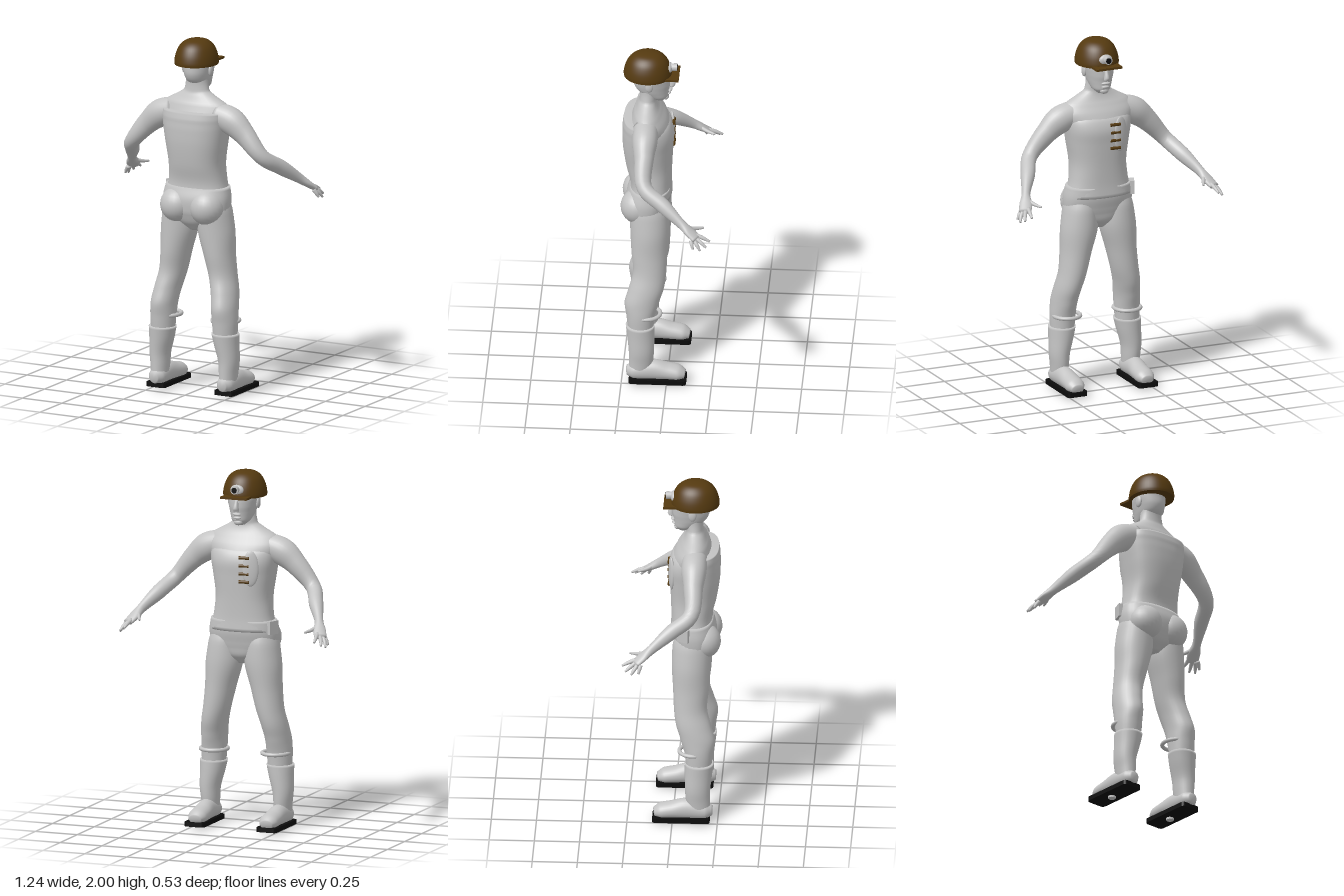
import * as THREE from 'three';

const V = (x, y, z) => new THREE.Vector3(x, y, z);
const paint = (name, color) => {
  const m = new THREE.MeshStandardMaterial({ color });
  m.name = name;
  return m;
};

// Smooth closed skin through stations [x, y, z, radiusU, radiusV].
// upright: level rings, listed bottom to top; otherwise rings follow the path.
function loft(stations, { upright = false, power = 2, sides = 28, steps = 5 } = {}) {
  const centre = new THREE.CatmullRomCurve3(stations.map(s => V(s[0], s[1], s[2])));
  const size = new THREE.CatmullRomCurve3(stations.map(s => V(s[3], s[4], 0)));
  const n = (stations.length - 1) * steps;
  const rings = [];
  for (let i = 0; i <= n; i++) {
    const r = size.getPoint(i / n);
    const ring = { c: centre.getPoint(i / n), t: centre.getTangent(i / n), a: Math.max(r.x, 0.002), b: Math.max(r.y, 0.002) };
    if (i === 0) rings.push({ ...ring, a: 0, b: 0 });
    rings.push(ring);
    if (i === n) rings.push({ ...ring, a: 0, b: 0 });
  }
  const pos = [], index = [];
  const curve = v => Math.sign(v) * Math.pow(Math.abs(v), 2 / power);
  rings.forEach(({ c, t, a, b }, i) => {
    const u = upright ? V(1, 0, 0) : V(0, 1, 0).cross(t).normalize();
    const v = upright ? V(0, 0, 1) : u.clone().cross(t);
    for (let j = 0; j < sides; j++) {
      const k = j / sides * Math.PI * 2;
      const p = c.clone().addScaledVector(u, a * curve(Math.cos(k))).addScaledVector(v, b * curve(Math.sin(k)));
      pos.push(p.x, p.y, p.z);
      if (i === rings.length - 1) continue;
      const p0 = i * sides + j, p1 = i * sides + (j + 1) % sides;
      index.push(p0, p0 + sides, p1, p1, p0 + sides, p1 + sides);
    }
  });
  const g = new THREE.BufferGeometry();
  g.setAttribute('position', new THREE.Float32BufferAttribute(pos, 3));
  g.setIndex(index);
  g.computeVertexNormals();
  return g;
}

// Level-ring stations on the centre line: [y, halfWidth, z, halfDepth]
const column = rows => rows.map(([y, a, z, b]) => [0, y, z, a, b]);

export function createModel() {
  const grey = paint('grey', 0xc4c4c4);
  const brown = paint('brown', 0x553a10);
  const black = paint('black', 0x0c0c0c);
  const model = new THREE.Group();
  const add = (name, geometry, material, x = 0, y = 0, z = 0) => {
    const mesh = new THREE.Mesh(geometry, material);
    mesh.name = name;
    mesh.position.set(x, y, z);
    model.add(mesh);
    return mesh;
  };
  const blob = (name, x, y, z, a, b, c, material = grey) => {
    const mesh = add(name, new THREE.SphereGeometry(1, 24, 16), material, x, y, z);
    mesh.scale.set(a, b, c);
    return mesh;
  };

  // Trunk with sloping shoulders and neck
  add('trunk', loft(column([
    [1.1, 0.17, 0.1, 0.1], [1.25, 0.15, 0.1, 0.1], [1.4, 0.165, 0.11, 0.12], [1.52, 0.19, 0.11, 0.125],
    [1.59, 0.215, 0.11, 0.1], [1.64, 0.19, 0.117, 0.075], [1.68, 0.12, 0.118, 0.055],
    [1.71, 0.075, 0.115, 0.048], [1.76, 0.066, 0.112, 0.05], [1.82, 0.066, 0.115, 0.055],
  ]), { upright: true }), grey);

  // Shirt and trouser seat
  add('shirt', loft(column([
    [1.11, 0.19, 0.1, 0.118], [1.2, 0.168, 0.1, 0.115], [1.3, 0.16, 0.11, 0.128], [1.42, 0.176, 0.115, 0.14],
    [1.5, 0.188, 0.115, 0.143], [1.56, 0.192, 0.125, 0.131], [1.6, 0.18, 0.15, 0.098],
  ]), { upright: true, power: 2.4, sides: 40 }), grey);
  add('trouserSeat', loft(column([
    [0.92, 0.03, 0.11, 0.05], [0.97, 0.12, 0.11, 0.095], [1.03, 0.195, 0.115, 0.115],
    [1.1, 0.2, 0.11, 0.125], [1.17, 0.188, 0.1, 0.115],
  ]), { upright: true, power: 2.3, sides: 40 }), grey);

  // Chest pocket with four cartridges, hip pouch
  blob('chestPocket', -0.085, 1.47, -0.012, 0.045, 0.1, 0.014).rotation.y = 0.3;
  for (let i = 0; i < 4; i++) {
    const bar = add('cartridge', new THREE.CylinderGeometry(0.009, 0.009, 0.06, 12), brown, -0.05, 1.53 - i * 0.045, -0.024);
    bar.rotation.z = Math.PI / 2;
  }
  const pouch = add('hipPouch', new THREE.BoxGeometry(0.025, 0.075, 0.065), grey, -0.188, 1.135, 0.06);
  pouch.rotation.y = -0.4;

  // Head and face, looking towards -z
  add('head', loft(column([
    [1.705, 0.025, 0.05, 0.025], [1.73, 0.052, 0.065, 0.062], [1.77, 0.068, 0.088, 0.09],
    [1.81, 0.078, 0.094, 0.102], [1.86, 0.086, 0.096, 0.102], [1.91, 0.08, 0.11, 0.1], [1.95, 0.05, 0.11, 0.07],
  ]), { upright: true, sides: 36 }), grey);
  add('nose', loft([
    [0, 1.79, -0.015, 0.017, 0.015], [0, 1.805, -0.018, 0.015, 0.018], [0, 1.85, -0.008, 0.008, 0.01],
  ], { upright: true, sides: 14 }), grey);
  blob('upperLip', 0, 1.77, -0.005, 0.026, 0.008, 0.014);
  blob('lowerLip', 0, 1.748, 0.002, 0.023, 0.008, 0.013);
  blob('chin', 0, 1.722, 0.018, 0.026, 0.018, 0.018);

  // Helmet dome, peak and lamp
  const dome = [[0.119, 0], [0.12, 0.02], [0.112, 0.06], [0.094, 0.1], [0.066, 0.127], [0.034, 0.138], [0, 0.141]];
  const profile = new THREE.SplineCurve(dome.map(p => new THREE.Vector2(...p))).getPoints(24);
  profile[24].x = 0;
  const helmet = add('helmet', new THREE.LatheGeometry([new THREE.Vector2(0, 0), new THREE.Vector2(0.119, 0), ...profile], 48), brown, 0, 1.859, 0.118);
  helmet.scale.z = 1.11;
  add('helmetPeak', new THREE.BoxGeometry(0.156, 0.012, 0.1), brown, 0, 1.866, -0.007);
  blob('lampMount', 0, 1.905, 0.0, 0.04, 0.03, 0.02);
  const lamp = add('lamp', new THREE.CylinderGeometry(0.022, 0.02, 0.04, 24), grey, 0, 1.91, -0.024);
  lamp.rotation.x = -Math.PI / 2;
  const lens = add('lampLens', new THREE.CylinderGeometry(0.016, 0.016, 0.004, 24), black, 0, 1.91, -0.045);
  lens.rotation.x = Math.PI / 2;

  // Sole outline with rounded corners
  const outline = new THREE.Shape();
  const w = 0.06, h = 0.159, r = 0.022;
  outline.moveTo(-w + r, -h).lineTo(w - r, -h).quadraticCurveTo(w, -h, w, -h + r)
    .lineTo(w, h - r).quadraticCurveTo(w, h, w - r, h)
    .lineTo(-w + r, h).quadraticCurveTo(-w, h, -w, h - r)
    .lineTo(-w, -h + r).quadraticCurveTo(-w, -h, -w + r, -h);
  const soleGeometry = new THREE.ExtrudeGeometry(outline, { depth: 0.025, bevelEnabled: false });
  soleGeometry.rotateX(-Math.PI / 2);

  for (const s of [1, -1]) {
    const side = rows => rows.map(([x, ...rest]) => [x * s, ...rest]);

    blob('ear', s * 0.083, 1.825, 0.105, 0.012, 0.034, 0.022);
    blob('buttock', s * 0.093, 1.06, 0.165, 0.098, 0.1, 0.098);

    // Arm to palm
    add('arm', loft(side([
      [0.13, 1.585, 0.12, 0.07, 0.07], [0.22, 1.555, 0.12, 0.07, 0.077], [0.3, 1.492, 0.12, 0.055, 0.062],
      [0.41, 1.37, 0.11, 0.043, 0.043], [0.47, 1.298, 0.005, 0.04, 0.042], [0.53, 1.22, -0.1, 0.024, 0.027],
      [0.553, 1.183, -0.15, 0.036, 0.02], [0.575, 1.153, -0.19, 0.034, 0.015],
    ])), grey);

    // Thumb and four fingers: base and tip
    const digits = [
      [[0.535, 1.2, -0.135], [0.515, 1.185, -0.175], [0.493, 1.178, -0.222]],
      [[0.555, 1.168, -0.185], [0.562, 1.153, -0.225], [0.567, 1.135, -0.262]],
      [[0.57, 1.158, -0.185], [0.588, 1.137, -0.216], [0.6, 1.115, -0.243]],
      [[0.583, 1.152, -0.175], [0.602, 1.128, -0.193], [0.614, 1.102, -0.21]],
      [[0.587, 1.15, -0.158], [0.601, 1.13, -0.164], [0.612, 1.108, -0.17]],
    ];
    digits.forEach((d, i) => add(i ? 'finger' : 'thumb', loft(
      side(d.map((p, k) => [...p, [0.012, 0.0105, 0.006][k], [0.012, 0.0105, 0.006][k]])), { sides: 12 }), grey));

    // Trouser leg
    add('leg', loft(side([
      [0.197, 0.33, 0.145, 0.066, 0.07], [0.195, 0.42, 0.145, 0.071, 0.08], [0.19, 0.5, 0.138, 0.071, 0.096],
      [0.178, 0.58, 0.115, 0.073, 0.097], [0.157, 0.67, 0.098, 0.077, 0.092], [0.136, 0.79, 0.1, 0.087, 0.1],
      [0.115, 0.93, 0.1, 0.104, 0.108], [0.107, 1.04, 0.105, 0.096, 0.108], [0.1, 1.12, 0.11, 0.08, 0.09],
    ]), { upright: true }), grey);

    // Band below the knee
    const band = add('kneeBand', new THREE.TorusGeometry(0.074, 0.011, 12, 40), grey, s * 0.183, 0.42, 0.115);
    band.rotation.x = Math.PI / 2;
    band.scale.set(1, 1.05, 1);

    // Boot shaft, foot and sole
    add('bootShaft', loft(side([
      [0.215, 0.06, 0.15, 0.045, 0.06], [0.216, 0.13, 0.142, 0.05, 0.067], [0.217, 0.2, 0.14, 0.057, 0.07],
      [0.205, 0.29, 0.144, 0.069, 0.076], [0.198, 0.355, 0.148, 0.077, 0.08],
    ]), { upright: true }), grey);
    add('foot', loft(side([
      [0.215, 0.068, 0.222, 0.025, 0.028], [0.215, 0.07, 0.18, 0.05, 0.05], [0.215, 0.078, 0.08, 0.05, 0.06],
      [0.212, 0.07, 0, 0.054, 0.048], [0.212, 0.062, -0.06, 0.054, 0.043], [0.212, 0.052, -0.1, 0.034, 0.024],
    ])), grey);
    add('sole', soleGeometry, black, s * 0.215, 0.012, 0.049);
    add('soleStud', new THREE.CylinderGeometry(0.022, 0.022, 0.014, 8), grey, s * 0.215, 0.007, 0.03);
  }
  return model;
}
